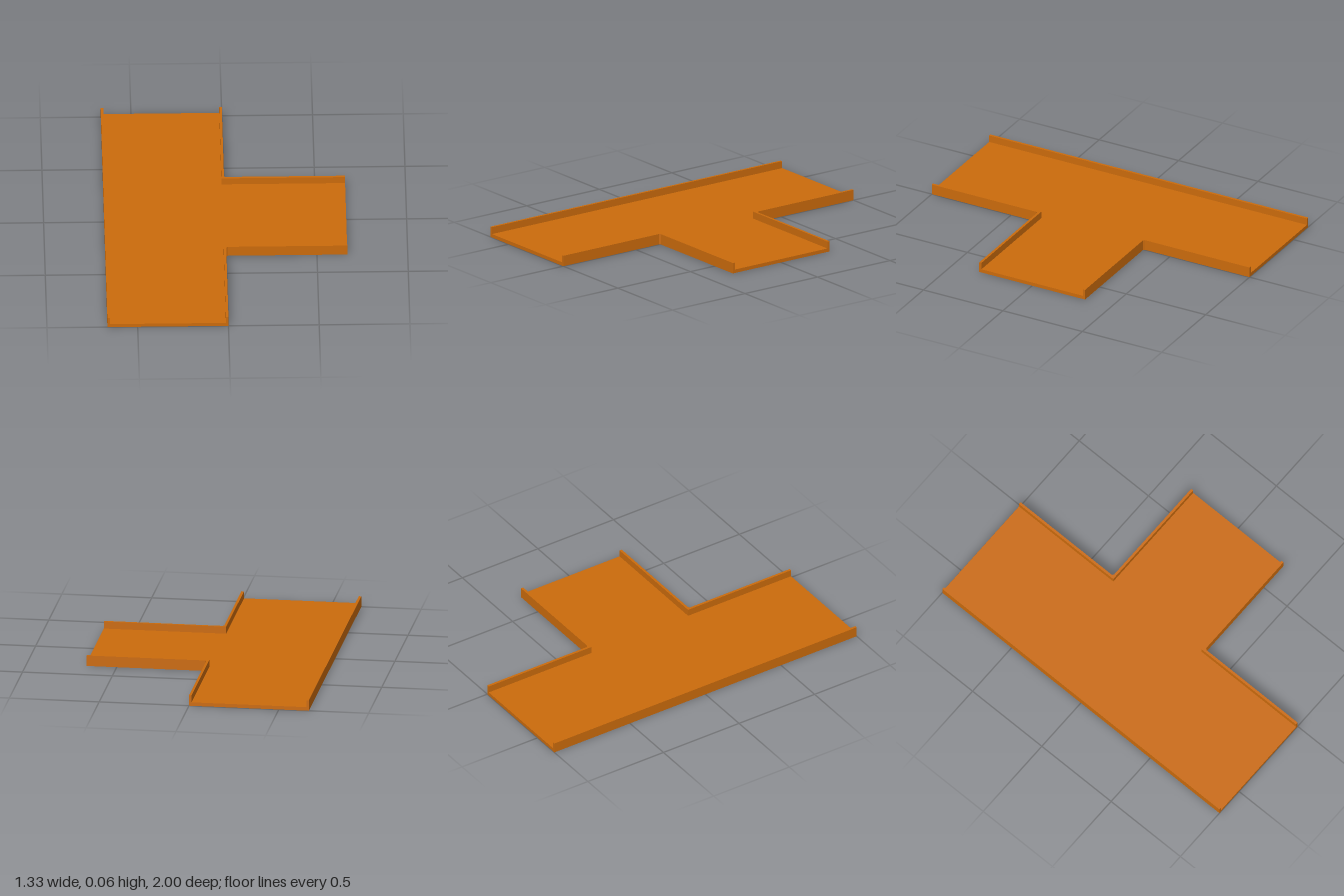
import * as THREE from 'three';

const W = 0.667;  // half width in x
const L = 1;      // half length in z
const B = 0.333;  // half width of the side branch
const T = 0.014;  // wall thickness
const C = 0.008;  // small chamfer at the junction corners
const FLOOR = 0.02, TOP = 0.06;

// Extrudes a plan outline of [x, z] points upwards from y0 to y1
function slab(points, y0, y1) {
  const shape = new THREE.Shape(points.map(([x, z]) => new THREE.Vector2(x, -z)));
  const geo = new THREE.ExtrudeGeometry(shape, { depth: y1 - y0, bevelEnabled: false });
  geo.rotateX(-Math.PI / 2);
  geo.translate(0, y0, 0);
  return geo;
}

export function createModel() {
  const group = new THREE.Group();
  group.name = 'teeTray';
  const orange = new THREE.MeshStandardMaterial({ color: 0xcb6b0c });
  orange.name = 'orange';

  const add = (name, geo) => {
    const mesh = new THREE.Mesh(geo, orange);
    mesh.name = name;
    group.add(mesh);
  };

  // T-shaped floor plate
  add('floor', slab([
    [-W, -L], [0, -L], [0, -B - C], [C, -B], [W, -B],
    [W, B], [C, B], [0, B + C], [0, L], [-W, L],
  ], 0, FLOOR));

  // Straight wall along the closed side
  add('longWall', slab([[-W, -L], [-W + T, -L], [-W + T, L], [-W, L]], FLOOR, TOP));

  // L-shaped walls following each side of the branch
  for (const [name, s] of [['frontCornerWall', 1], ['backCornerWall', -1]]) {
    add(name, slab([
      [0, s * L], [0, s * (B + C)], [C, s * B], [W, s * B],
      [W, s * (B - T)], [-T, s * (B - T)], [-T, s * L],
    ], FLOOR, TOP));
  }
  return group;
}
